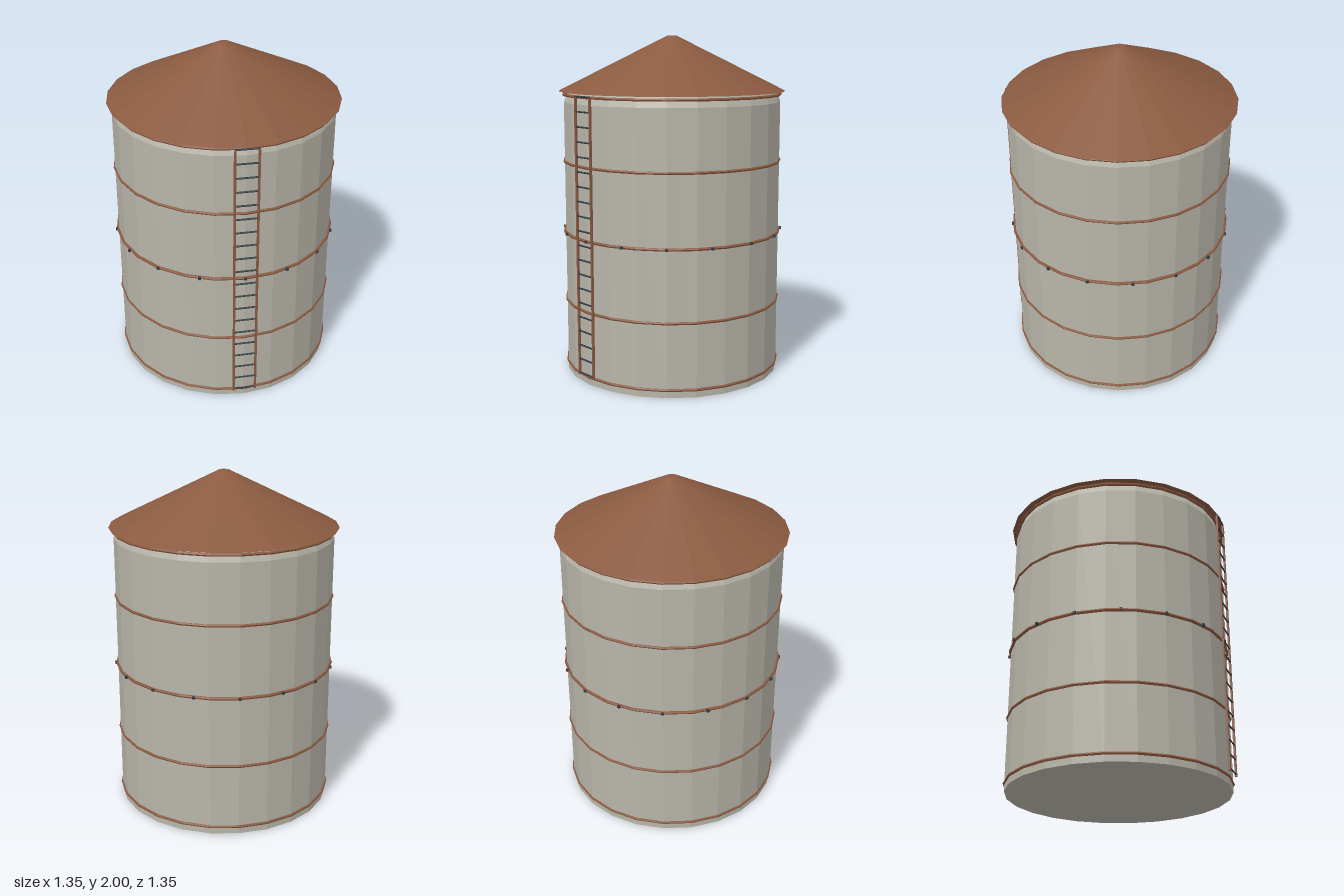
import * as THREE from 'three';

const SIDES = 24;

export function createModel() {
  const model = new THREE.Group();
  model.name = 'storageSilo';

  const makeMaterial = (name, color) => {
    const material = new THREE.MeshStandardMaterial({ color, flatShading: true });
    material.name = name;
    return material;
  };
  const wall = makeMaterial('paleConcrete', 0xb8b5a9);
  const rust = makeMaterial('rustBrown', 0x8b5a41);
  const steel = makeMaterial('darkSteel', 0x333d45);

  const add = (parent, name, geometry, material, x = 0, y = 0, z = 0) => {
    const mesh = new THREE.Mesh(geometry, material);
    mesh.name = name;
    mesh.position.set(x, y, z);
    parent.add(mesh);
    return mesh;
  };
  const lathe = (points) =>
    new THREE.LatheGeometry(points.map(([r, y]) => new THREE.Vector2(r, y)), SIDES);

  // Tank with a closed floor and a chamfered shoulder
  add(model, 'tank', lathe([[0, 0], [0.645, 0], [0.645, 1.62], [0.622, 1.68], [0, 1.68]]), wall);

  // Overhanging conical roof with a small flat tip
  add(model, 'roof', lathe([[0, 1.68], [0.673, 1.68], [0.03, 2], [0, 2]]), rust);

  // Hoops around the tank; the middle one is a little larger
  const hoops = new THREE.Group();
  hoops.name = 'hoops';
  model.add(hoops);
  [0.045, 0.432, 0.85, 1.27, 1.662].forEach((y, i) => {
    const radius = i === 2 ? 0.65 : 0.645;
    const hoop = new THREE.TorusGeometry(radius, 0.009, 6, SIDES).rotateX(Math.PI / 2);
    add(hoops, 'hoop', hoop, rust, 0, y, 0);
  });

  // Bolts on the middle hoop
  const bolts = new THREE.Group();
  bolts.name = 'bolts';
  model.add(bolts);
  const boltGeometry = new THREE.BoxGeometry(0.016, 0.014, 0.018);
  for (let i = 0; i < 16; i++) {
    const a = (i / 16) * Math.PI * 2;
    const bolt = add(bolts, 'bolt', boltGeometry, steel, Math.sin(a) * 0.655, 0.85, Math.cos(a) * 0.655);
    bolt.rotation.y = a;
  }

  // Ladder on the front: two rails and evenly spaced rungs
  const ladder = new THREE.Group();
  ladder.name = 'ladder';
  model.add(ladder);
  for (const side of [-1, 1]) {
    add(ladder, 'ladderRail', new THREE.BoxGeometry(0.012, 1.605, 0.012), rust, side * 0.065, 0.858, 0.667);
  }
  const rungGeometry = new THREE.CylinderGeometry(0.005, 0.005, 0.13, 6).rotateZ(Math.PI / 2);
  for (let i = 0; i < 20; i++) {
    add(ladder, 'ladderRung', rungGeometry, steel, 0, 0.068 + i * 0.0842, 0.669);
  }

  return model;
}
